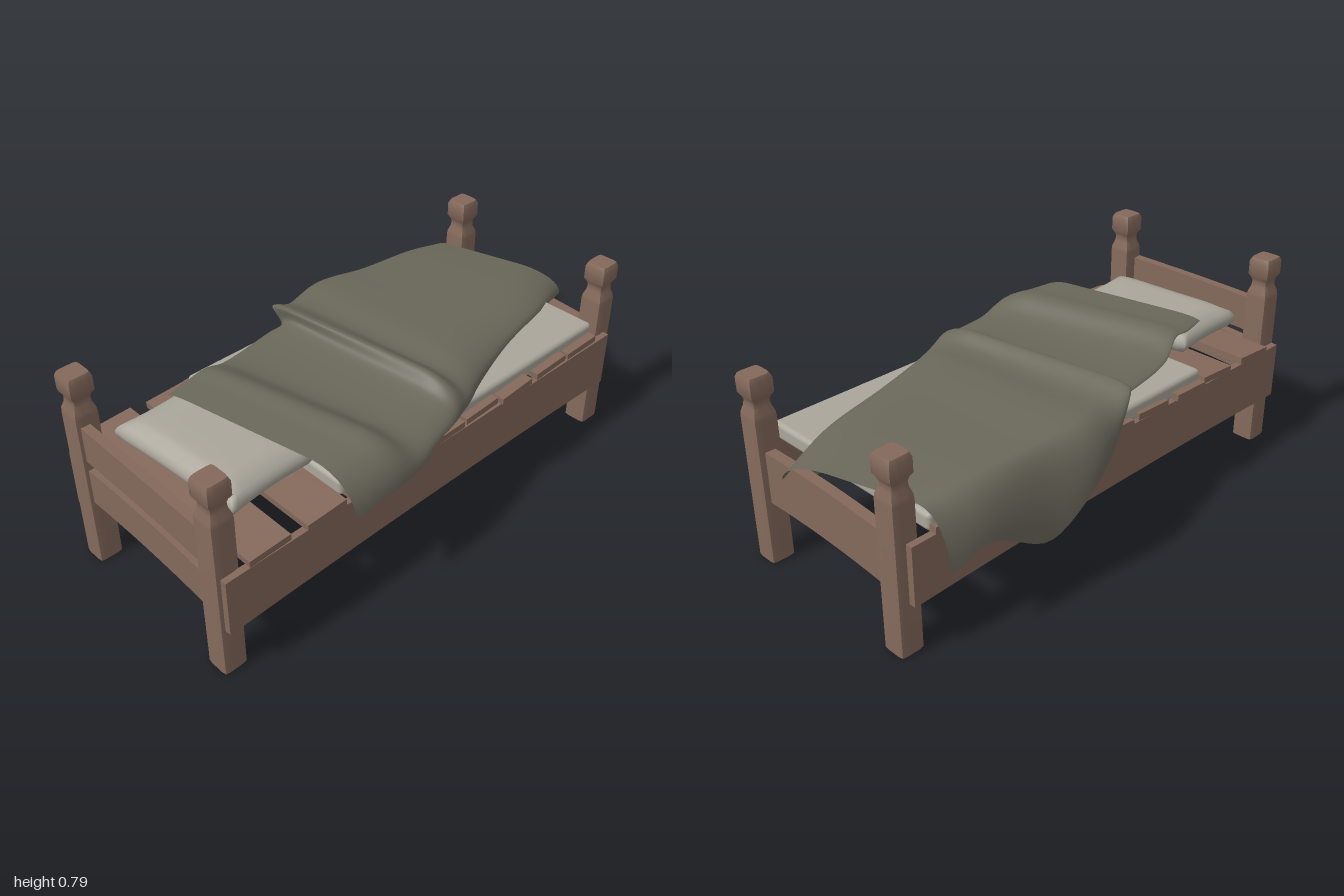
import * as THREE from 'three';
import { toCreasedNormals } from 'three/addons/utils/BufferGeometryUtils.js';
import { RoundedBoxGeometry } from 'three/addons/geometries/RoundedBoxGeometry.js';

const wood = new THREE.MeshStandardMaterial({ color: 0x84695b });
const linen = new THREE.MeshStandardMaterial({ color: 0xaaa69b });
const wool = new THREE.MeshStandardMaterial({ color: 0x6a675a, side: THREE.DoubleSide });

function add(group, name, geometry, material, x = 0, y = 0, z = 0) {
  const mesh = new THREE.Mesh(geometry, material);
  mesh.name = name;
  mesh.position.set(x, y, z);
  group.add(mesh);
  return mesh;
}

// Applies a rule to every vertex
function reshape(geometry, rule) {
  const p = geometry.attributes.position;
  const v = new THREE.Vector3();
  for (let i = 0; i < p.count; i++) {
    v.fromBufferAttribute(p, i);
    rule(v, i);
    p.setXYZ(i, v.x, v.y, v.z);
  }
  geometry.computeVertexNormals();
  return geometry;
}

// Square post with softened corners, a waisted neck and a block finial
function postGeometry(height) {
  const profile = [
    [0, 0], [0.046, 0], [0.046, height - 0.16], [0.044, height - 0.142],
    [0.035, height - 0.118], [0.033, height - 0.098], [0.037, height - 0.086],
    [0.047, height - 0.07], [0.047, height - 0.016], [0.04, height], [0, height],
  ].map(([r, y]) => new THREE.Vector2(r, y));
  const geometry = reshape(new THREE.LatheGeometry(profile, 24), (v) => {
    const r = Math.hypot(v.x, v.z);
    if (r < 1e-6) return;
    const c = Math.abs(v.x / r), s = Math.abs(v.z / r), n = 9;
    const k = Math.pow(c ** n + s ** n, -1 / n);
    v.x *= k;
    v.z *= k;
  });
  return toCreasedNormals(geometry, 0.9);
}

// Board along x whose bottom and top edges arch by the given amounts
function boardGeometry(length, height, depth, bottomBow, topBow) {
  const geometry = new THREE.BoxGeometry(length, height, depth, 8, 1, 1);
  reshape(geometry, (v) => {
    const arch = 1 - (2 * v.x / length) ** 2;
    v.y += arch * (v.y < 0 ? bottomBow : topBow);
  });
  return toCreasedNormals(geometry, 0.5);
}

// Pillow: a soft rectangle, fuller in the middle and rounded at the seams
function pillowGeometry() {
  const geometry = reshape(new THREE.BoxGeometry(2, 2, 2, 16, 6, 12), (v) => {
    const { x, y, z } = v;
    const fill = Math.sqrt((1 - x ** 6) * (1 - z ** 6));
    v.y = y * 0.06 * (0.55 + 0.45 * fill);
    v.x = x * (0.288 - 0.018 * y * y - 0.01 * (1 - z * z));
    v.z = z * (0.175 - 0.016 * y * y - 0.006 * (1 - x * x));
  });
  return toCreasedNormals(geometry, Math.PI);
}

// Blanket rows from foot to head, with a ridge mid-bed and a climb to the pillow:
// left edge x, y, z, height on the bed, right edge x, y, z
const blanketRows = [
  [-0.47, 0.305, -0.83, 0.53, 0.14, 0.45, -1.0],
  [-0.49, 0.36, -0.68, 0.55, 0.22, 0.5, -0.77],
  [-0.51, 0.25, -0.43, 0.565, 0.29, 0.51, -0.48],
  [-0.53, 0.4, -0.22, 0.58, 0.37, 0.5, -0.24],
  [-0.47, 0.5, -0.05, 0.575, 0.42, 0.5, -0.13],
  [-0.42, 0.59, 0.05, 0.61, 0.44, 0.5, -0.07],
  [-0.375, 0.53, 0.045, 0.57, 0.46, 0.5, -0.01],
  [-0.365, 0.53, 0.12, 0.553, 0.485, 0.495, 0.1],
  [-0.32, 0.54, 0.37, 0.56, 0.515, 0.47, 0.21],
  [-0.28, 0.59, 0.48, 0.61, 0.525, 0.46, 0.3],
  [-0.275, 0.585, 0.55, 0.604, 0.525, 0.45, 0.4],
  [-0.25, 0.585, 0.66, 0.6, 0.52, 0.43, 0.515],
];

// Point across one row: flat on the bed, a quarter ellipse over each side
function drapePoint([xl, yl, zl, top, xr, yr, zr], s) {
  const hangL = 0.11, hangR = 0.18, edge = 0.3;
  const l = Math.max(0, 1 - s / edge) * Math.PI / 2;
  const r = Math.max(0, 1 - (1 - s) / edge) * Math.PI / 2;
  const mid = THREE.MathUtils.clamp((s - edge) / (1 - 2 * edge), 0, 1);
  const x = THREE.MathUtils.lerp(xl + hangL, xr - hangR, mid)
    - hangL * Math.sin(l) + hangR * Math.sin(r);
  const y = top - (top - yl) * (1 - Math.cos(l)) - (top - yr) * (1 - Math.cos(r));
  return new THREE.Vector3(x, y, THREE.MathUtils.lerp(zl, zr, (x - xl) / (xr - xl)));
}

function blanketGeometry() {
  const cols = 28, rows = 77;
  const curves = [];
  for (let i = 0; i <= cols; i++) {
    curves.push(new THREE.CatmullRomCurve3(blanketRows.map((row) => drapePoint(row, i / cols))));
  }
  return reshape(new THREE.PlaneGeometry(1, 1, cols, rows), (v, i) => {
    const col = i % (cols + 1), row = Math.floor(i / (cols + 1));
    v.copy(curves[col].getPoint(row / rows));
  });
}

export function createModel() {
  const bed = new THREE.Group();
  bed.name = 'bed';

  // Posts: taller at the head, shorter at the foot
  for (const x of [-0.332, 0.371]) {
    add(bed, 'headPost', postGeometry(0.79), wood, x, 0, 0.95);
    add(bed, 'footPost', postGeometry(0.725), wood, x, 0, -0.92);
  }

  // Side rails
  for (const x of [-0.393, 0.428]) {
    add(bed, 'sideRail', boardGeometry(1.905, 0.225, 0.026, 0.015, 0), wood, x, 0.3125, 0.027)
      .rotation.y = Math.PI / 2;
  }

  // End boards, with an open gap between the two at the head
  const tilt = -0.02;
  add(bed, 'headBoardUpper', boardGeometry(0.64, 0.142, 0.036, 0.006, 0.003), wood, 0.02, 0.528, 0.969)
    .rotation.y = tilt;
  add(bed, 'headBoardLower', boardGeometry(0.64, 0.142, 0.036, 0.012, 0.012), wood, 0.02, 0.345, 0.969)
    .rotation.y = tilt;
  add(bed, 'footBoard', boardGeometry(0.64, 0.2, 0.04, 0.012, 0.01), wood, 0.02, 0.345, -0.928)
    .rotation.y = tilt;

  // Slats, each laid slightly unevenly
  const slatCentres = [0.8, 0.57, 0.385, 0.185, 0, -0.18, -0.35, -0.565, -0.755];
  slatCentres.forEach((z, i) => {
    const slat = add(bed, 'slat', new THREE.BoxGeometry(0.87, 0.025, 0.165), wood,
      0.012 + 0.007 * Math.sin(i * 2.3), 0.449, z);
    slat.rotation.set(0.05, 0.018 * Math.sin(i * 1.7 + 4), 0);
  });

  // Bedding: the mattress sinks between the slats
  add(bed, 'mattress', new RoundedBoxGeometry(0.81, 0.066, 1.33, 3, 0.018), linen, 0.005, 0.467, -0.185);
  add(bed, 'pillow', pillowGeometry(), linen, 0.01, 0.533, 0.68).rotation.y = 0.06;
  add(bed, 'blanket', blanketGeometry(), wool);

  return bed;
}
